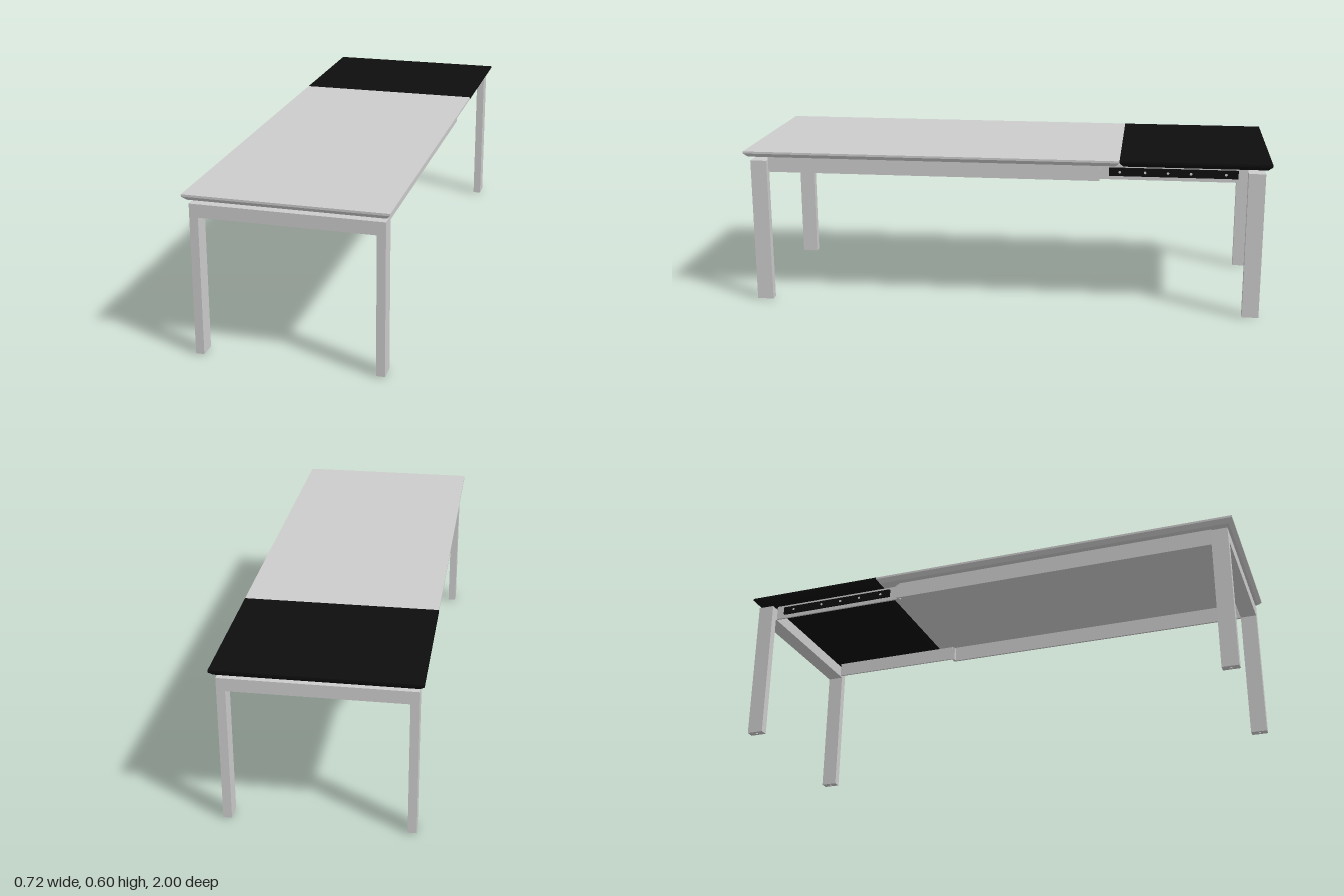
import * as THREE from 'three';

const grey = new THREE.MeshStandardMaterial({ color: 0xcccccc });
const black = new THREE.MeshStandardMaterial({ color: 0x0d0d0d });

function add(parent, name, geometry, material = grey) {
  const mesh = new THREE.Mesh(geometry, material);
  mesh.name = name;
  parent.add(mesh);
  return mesh;
}

// Box given by its limits on each axis
function block(x0, x1, y0, y1, z0, z1) {
  return new THREE.BoxGeometry(Math.abs(x1 - x0), y1 - y0, z1 - z0)
    .translate((x0 + x1) / 2, (y0 + y1) / 2, (z0 + z1) / 2);
}

// Board with an upright upper edge and an underside bevel; insets are per side
function board(x0, x1, z0, z1, insetX0, insetX1) {
  const yLow = 0.58, yMid = 0.595, yTop = 0.603, inset = 0.015;
  const g = new THREE.BoxGeometry(1, 2, 1, 1, 2, 1);
  const p = g.attributes.position;
  for (let i = 0; i < p.count; i++) {
    const low = p.getY(i) < -0.5;
    const xMin = x0 + (low ? insetX0 : 0), xMax = x1 - (low ? insetX1 : 0);
    const zIn = low ? inset : 0;
    p.setXYZ(i,
      p.getX(i) < 0 ? xMin : xMax,
      low ? yLow : p.getY(i) > 0.5 ? yTop : yMid,
      p.getZ(i) < 0 ? z0 + zIn : z1 - zIn);
  }
  const flat = g.toNonIndexed();
  flat.computeVertexNormals();
  return flat;
}

export function createModel() {
  const table = new THREE.Group();
  table.name = 'extendingTable';

  // Main top and the two-part extension leaf
  add(table, 'mainTop', board(-0.36, 0.358, -0.44, 1, 0.015, 0.015));
  add(table, 'leafRight', board(-0.36, -0.001, -1, -0.44, 0.015, 0), black);
  add(table, 'leafLeft', board(-0.001, 0.358, -1, -0.44, 0, 0.015), black);

  const frame = new THREE.Group();
  frame.name = 'frame';
  frame.position.x = -0.002;
  table.add(frame);

  // End frames: two legs with feet, joined by a beam
  for (const end of [1, -1]) {
    const zA = Math.min(end * 0.915, end * 0.978), zB = Math.max(end * 0.915, end * 0.978);
    add(frame, 'endBeam', block(-0.31, 0.31, 0.516, 0.564, zA, zB));
    for (const s of [1, -1]) {
      add(frame, 'leg', block(s * 0.31, s * 0.341, 0.004, 0.564, zA, zB));
      add(frame, 'foot', new THREE.CylinderGeometry(0.005, 0.005, 0.004, 16))
        .position.set(s * 0.325, 0.002, end * 0.946);
    }
  }

  // Side rails, with the rear pair set inward and carrying the slides
  for (const s of [1, -1]) {
    add(frame, 'frontRail', block(s * 0.312, s * 0.32, 0.516, 0.58, -0.355, 0.915));
    add(frame, 'railEnd', block(s * 0.297, s * 0.32, 0.516, 0.575, -0.365, -0.355));
    add(frame, 'rearRail', block(s * 0.296, s * 0.303, 0.52, 0.578, -0.915, -0.365));
    add(frame, 'slide', block(s * 0.303, s * 0.311, 0.535, 0.566, -0.88, -0.4), black);
    for (const z of [-0.44, -0.535, -0.62, -0.705, -0.835]) {
      const screw = add(frame, 'slideScrew', new THREE.CylinderGeometry(0.005, 0.005, 0.002, 12));
      screw.rotation.z = Math.PI / 2;
      screw.position.set(s * 0.3115, 0.55, z);
    }
  }
  return table;
}
